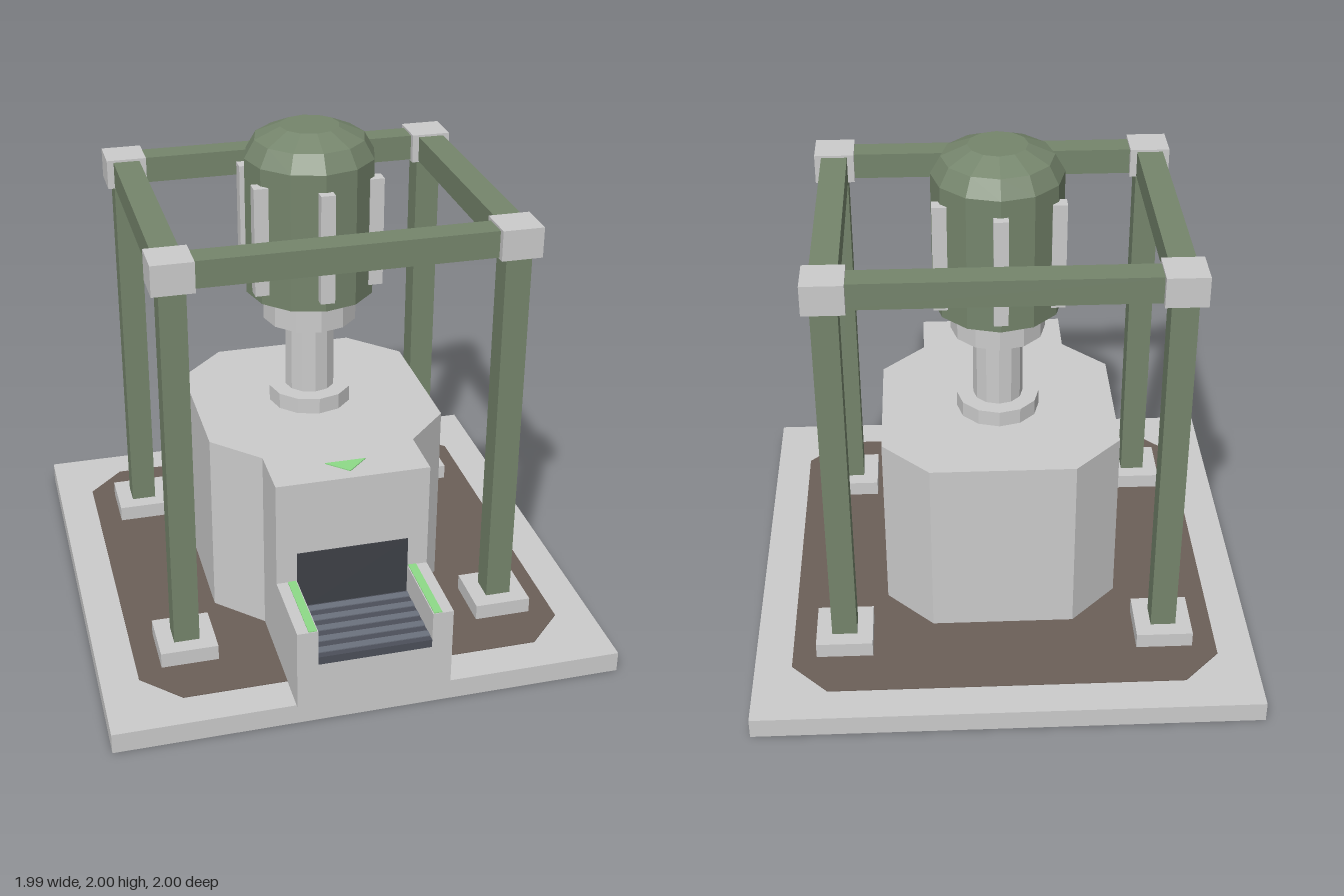
import * as THREE from 'three';

const mat = (color) => new THREE.MeshStandardMaterial({ color, flatShading: true });

export function createModel() {
  const model = new THREE.Group();
  const grey = mat(0xcccccc), green = mat(0x75856c), brown = mat(0x6c6058);
  const dark = mat(0x3e4147), belt = mat(0x4c505a), slat = mat(0x6c727e), glow = mat(0x8edb88);
  const CZ = -0.006; // shared centre of the frame and machine

  const add = (name, geo, material, x = 0, y = 0, z = 0, parent = model) => {
    const mesh = new THREE.Mesh(geo, material);
    mesh.name = name;
    mesh.position.set(x, y, z);
    parent.add(mesh);
    return mesh;
  };
  // box given by its minimum and maximum corners
  const block = (name, material, [x0, y0, z0], [x1, y1, z1], parent = model) =>
    add(name, new THREE.BoxGeometry(x1 - x0, y1 - y0, z1 - z0), material,
      (x0 + x1) / 2, (y0 + y1) / 2, (z0 + z1) / 2, parent);
  // upright prism from a plan outline of [x, z] points
  const prism = (name, material, points, y0, y1) => {
    const shape = new THREE.Shape(points.map(([x, z]) => new THREE.Vector2(x, -z)));
    const geo = new THREE.ExtrudeGeometry(shape, { depth: y1 - y0, bevelEnabled: false });
    geo.rotateX(-Math.PI / 2);
    return add(name, geo, material, 0, y0, 0);
  };
  const octagon = (h, c) => [
    [h, c], [h, -c], [c, -h], [-c, -h], [-h, -c], [-h, c], [-c, h], [c, h],
  ].map(([x, z]) => [x, z + CZ]);

  // ground slab and floor patch
  block('baseSlab', grey, [-0.995, 0, -1], [0.995, 0.083, 0.988]);
  prism('floorPatch', brown, octagon(0.848, 0.702), 0.08, 0.086);

  // chamfered housing
  prism('housing', grey, octagon(0.472, 0.285), 0.083, 0.845);

  // intake at the front: tall block, low tray and its side walls
  const intake = new THREE.Group();
  intake.name = 'intake';
  model.add(intake);
  block('intakeBlock', grey, [-0.3, 0.083, 0.28], [0.3, 0.845, 0.67], intake);
  block('trayBottom', grey, [-0.3, 0.083, 0.67], [0.3, 0.265, 1], intake);
  block('intakeOpening', dark, [-0.22, 0.27, 0.66], [0.22, 0.54, 0.674], intake);
  block('conveyorBelt', belt, [-0.22, 0.265, 0.67], [0.22, 0.298, 1], intake);
  for (let i = 0; i < 5; i++) {
    const z = 0.7 + i * 0.065;
    block('beltSlat', slat, [-0.22, 0.296, z - 0.016], [0.22, 0.302, z + 0.016], intake);
  }
  for (const s of [-1, 1]) {
    add('trayWall', new THREE.BoxGeometry(0.08, 0.15, 0.33), grey, s * 0.26, 0.34, 0.835, intake);
    add('guideStrip', new THREE.BoxGeometry(0.032, 0.005, 0.325), glow, s * 0.24, 0.416, 0.8345, intake);
  }
  prism('arrowMark', glow, [[-0.08, 0.55], [0, 0.625], [0.08, 0.55]], 0.844, 0.849);

  // frame: four posts with feet and caps, joined by beams
  const frame = new THREE.Group();
  frame.name = 'frame';
  frame.position.z = CZ;
  model.add(frame);
  const px = 0.64, pz = 0.54;
  for (const sx of [-1, 1]) for (const sz of [-1, 1]) {
    const x = sx * px, z = sz * pz;
    add('postFoot', new THREE.BoxGeometry(0.225, 0.066, 0.225), grey, x, 0.116, z, frame);
    add('post', new THREE.BoxGeometry(0.1, 1.5, 0.1), green, x, 0.89, z, frame);
    add('postCap', new THREE.BoxGeometry(0.158, 0.118, 0.158), grey, x, 1.695, z, frame);
  }
  for (const s of [-1, 1]) {
    add('crossBeam', new THREE.BoxGeometry(2 * px, 0.104, 0.104), green, 0, 1.693, s * pz, frame);
    add('sideBeam', new THREE.BoxGeometry(0.104, 0.104, 2 * pz), green, s * px, 1.693, 0, frame);
  }

  // central column carrying the domed head
  const tower = new THREE.Group();
  tower.name = 'tower';
  tower.position.z = CZ;
  model.add(tower);
  const drum = (name, r, y0, y1) =>
    add(name, new THREE.CylinderGeometry(r, r, y1 - y0, 12), grey, 0, (y0 + y1) / 2, 0, tower);
  drum('lowerCollar', 0.167, 0.843, 0.91);
  drum('column', 0.1, 0.9, 1.22);
  drum('upperCollar', 0.188, 1.215, 1.34);
  const profile = [[0, 1.335], [0.255, 1.335], [0.255, 1.885], [0.215, 1.955], [0.115, 2], [0, 2]]
    .map(([r, y]) => new THREE.Vector2(r, y));
  add('domedHead', new THREE.LatheGeometry(profile, 12), green, 0, 0, 0, tower);
  for (let i = 0; i < 6; i++) {
    const a = (i * Math.PI) / 3;
    add('headFin', new THREE.BoxGeometry(0.056, 0.435, 0.056), grey,
      0.26 * Math.sin(a), 1.6, 0.26 * Math.cos(a), tower);
  }
  return model;
}
